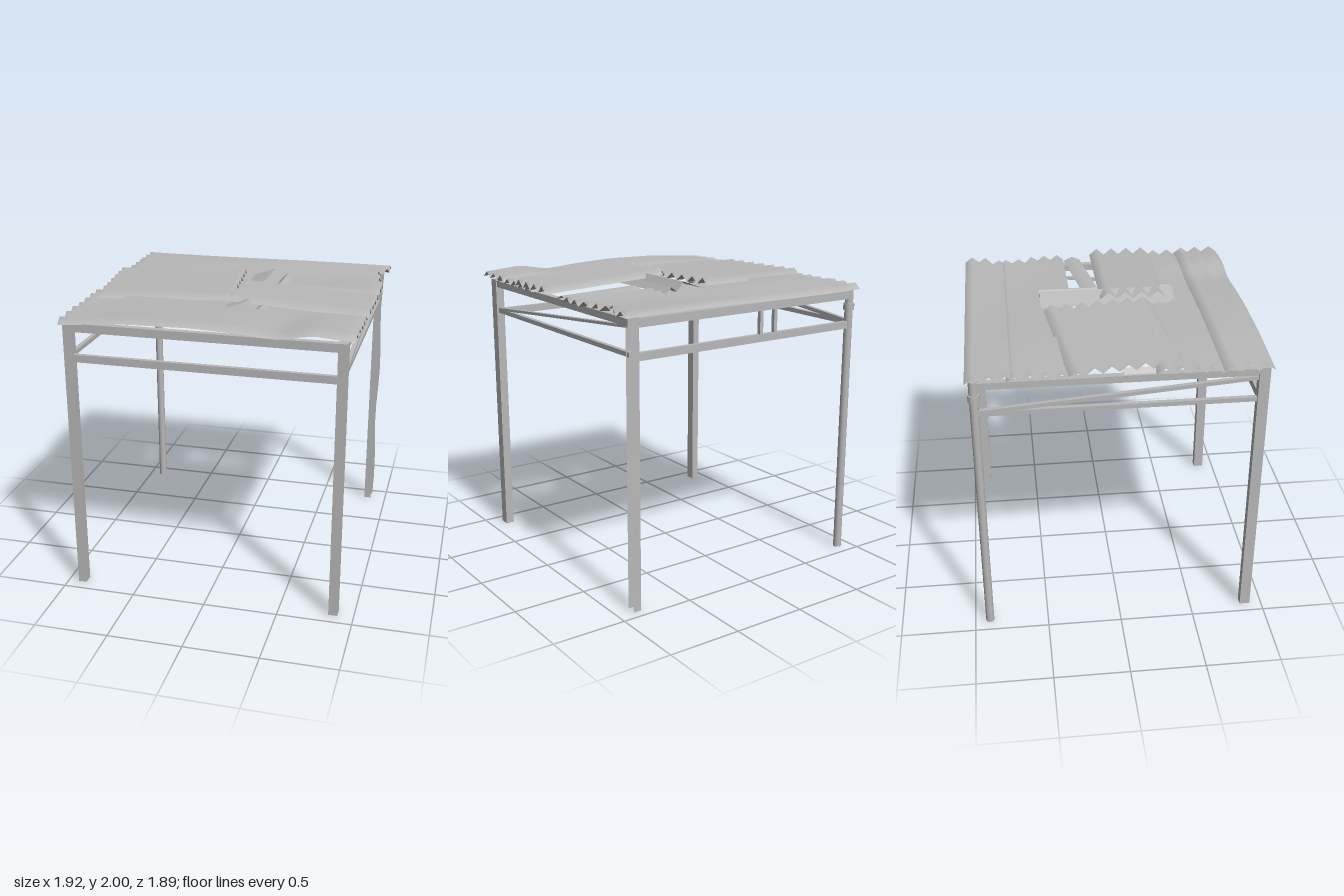
import * as THREE from 'three';

// piecewise-linear lookup through [position, value] pairs
function lerpTable(table, t) {
  if (t <= table[0][0]) return table[0][1];
  for (let i = 1; i < table.length; i++) {
    const [a, va] = table[i - 1], [b, vb] = table[i];
    if (t <= b) return va + (vb - va) * (t - a) / (b - a);
  }
  return table[table.length - 1][1];
}

export function createModel() {
  const group = new THREE.Group();
  const steel = new THREE.MeshStandardMaterial({ color: 0xb8b8b8, side: THREE.DoubleSide });
  steel.name = 'grey galvanised steel';

  function add(name, geometry, x = 0, y = 0, z = 0) {
    const mesh = new THREE.Mesh(geometry, steel);
    mesh.name = name;
    mesh.position.set(x, y, z);
    group.add(mesh);
    return mesh;
  }

  // straight bar from a to b, w wide and h tall
  function bar(name, a, b, w, h) {
    const p = new THREE.Vector3(...a), q = new THREE.Vector3(...b);
    const mesh = add(name, new THREE.BoxGeometry(w, h, p.distanceTo(q)));
    mesh.position.copy(p).add(q).multiplyScalar(0.5);
    mesh.lookAt(q);
    return mesh;
  }

  // corrugated sheet: zigzag along z, ridges along x, shaped by bend(x, z) and edge(z)
  function sheet(name, { w, d, teeth, amp, x, y, z, turn = 0, tilt = 0, bend, edge }) {
    const nx = 24;
    const geo = new THREE.PlaneGeometry(w, d, nx, teeth * 2).rotateX(-Math.PI / 2);
    const pos = geo.attributes.position;
    for (let i = 0; i < pos.count; i++) {
      const row = Math.floor(i / (nx + 1));
      const px = pos.getX(i), pz = pos.getZ(i);
      pos.setY(i, (row % 2 ? amp : -amp) + (bend ? bend(px + x, pz + z) : 0));
      if (edge && i % (nx + 1) === nx) pos.setX(i, edge(pz + z) - x);
    }
    geo.computeVertexNormals();
    const mesh = add(name, geo, x, y, z);
    mesh.rotation.set(0, turn, tilt);
    return mesh;
  }

  // posts: two square tubes, one round pipe with a collar
  add('frontRightPost', new THREE.BoxGeometry(0.055, 1.88, 0.07), -0.9, 0.94, 0.885);
  add('frontLeftPost', new THREE.BoxGeometry(0.06, 1.88, 0.07), 0.863, 0.94, 0.885);
  add('backRightPost', new THREE.CylinderGeometry(0.028, 0.028, 1.88, 16), -0.9, 0.94, -0.9);
  add('postCollar', new THREE.CylinderGeometry(0.037, 0.037, 0.045, 16), -0.9, 1.765, -0.9);

  // dented open channel post
  const section = [[0.885, -0.868], [0.835, -0.868], [0.835, -0.938], [0.89, -0.938]];
  const channel = new THREE.PlaneGeometry(1, 1.9, 3, 12);
  const cp = channel.attributes.position;
  for (let i = 0; i < cp.count; i++) {
    const [sx, sz] = section[i % 4];
    const y = cp.getY(i) + 0.95;
    const dent = i % 4 === 3 ? 0.008 * Math.sin(y * 7) : 0;
    cp.setXYZ(i, sx + dent, y, sz + dent * 0.4);
  }
  const flatChannel = channel.toNonIndexed();
  flatChannel.computeVertexNormals();
  add('backLeftPost', flatChannel);

  // top beams and lower rails on all four sides
  for (const [side, z] of [['front', 0.885], ['back', -0.9]]) {
    bar(side + 'TopBeam', [-0.88, 1.847, z], [0.84, 1.847, z], 0.045, 0.055);
    bar(side + 'LowerRail', [-0.88, 1.64, z], [0.84, 1.64, z], 0.03, 0.05);
  }
  for (const [side, x] of [['right', -0.9], ['left', 0.863]]) {
    bar(side + 'TopBeam', [x, 1.85, 0.86], [x, 1.85, -0.89], 0.045, 0.045);
    bar(side + 'LowerRail', [x, 1.655, 0.86], [x, 1.655, -0.89], 0.03, 0.03);
  }

  // diagonal braces, rising in opposite directions
  bar('leftBrace', [0.863, 1.665, 0.86], [0.863, 1.825, -0.88], 0.03, 0.018);
  bar('rightBrace', [-0.9, 1.805, 0.86], [-0.9, 1.665, -0.88], 0.03, 0.025);

  // short uprights in the back frame
  for (const x of [-0.237, -0.12]) {
    add('backUpright', new THREE.BoxGeometry(0.026, 0.16, 0.026), x, 1.745, -0.9);
  }

  // front roof sheets, warped along the front edge
  const wave = [[-0.95, -0.02], [-0.5, 0.015], [-0.1, 0.022], [0.2, 0.01],
    [0.45, -0.012], [0.68, 0.03], [0.94, 0.008]];
  const frontBend = (x, z) => lerpTable(wave, x) * THREE.MathUtils.clamp((z - 0.35) / 0.55, 0, 1);
  sheet('frontRoofSheet', { w: 1.89, d: 0.32, teeth: 3, amp: 0.02, x: -0.005, y: 1.912, z: 0.785, bend: frontBend });
  sheet('frontInnerRoofSheet', { w: 1.89, d: 0.51, teeth: 5, amp: 0.02, x: -0.005, y: 1.904, z: 0.465, bend: frontBend });

  // back roof sheets, with a torn edge
  const torn = [[-0.95, 0.94], [-0.82, 0.94], [-0.78, 0.91], [-0.7, 0.87], [-0.6, 0.91],
    [-0.54, 0.89], [-0.44, 0.94], [-0.22, 0.94]];
  const backBend = (x, z) => 0.012 * Math.sin(x * 3) * Math.sin((z + 0.22) * 5);
  const tornEdge = (z) => lerpTable(torn, z);
  sheet('backRoofSheet', { w: 1.89, d: 0.3, teeth: 3, amp: 0.019, x: -0.005, y: 1.905, z: -0.8, bend: backBend, edge: tornEdge });
  sheet('backInnerRoofSheet', { w: 1.89, d: 0.48, teeth: 5, amp: 0.019, x: -0.005, y: 1.9, z: -0.46, bend: backBend, edge: tornEdge });

  // loose sheets lying across the middle
  sheet('looseRightSheet', { w: 0.915, d: 0.73, teeth: 7, amp: 0.022, x: -0.468, y: 1.935, z: -0.01, turn: 0.108, tilt: 0.018 });
  sheet('looseLeftSheet', { w: 0.92, d: 0.445, teeth: 4, amp: 0.024, x: 0.493, y: 1.948, z: 0.197, turn: -0.012, tilt: -0.052 });
  sheet('looseStrip', { w: 0.64, d: 0.12, teeth: 1, amp: 0.014, x: 0.6, y: 1.895, z: -0.11, turn: 0.15 });

  // narrow sheet running front to back, with one sharp ridge
  const ridge = [[0.01, 1.915], [0.16, 1.97], [0.21, 1.905], [0.255, 1.94], [0.295, 1.9]];
  const ridgeGeo = new THREE.PlaneGeometry(1, 0.92, ridge.length - 1, 1).rotateX(-Math.PI / 2);
  const rp = ridgeGeo.attributes.position;
  for (let i = 0; i < rp.count; i++) {
    const [x, y] = ridge[i % ridge.length];
    rp.setXYZ(i, x, y, rp.getZ(i) + 0.02);
  }
  const flatRidge = ridgeGeo.toNonIndexed();
  flatRidge.computeVertexNormals();
  add('ridgeSheet', flatRidge);

  // bent scrap hanging at the right side of the roof
  const scrap = add('bentScrap', new THREE.BoxGeometry(0.06, 0.006, 0.2), -0.895, 1.88, 0.11);
  scrap.rotation.z = 0.8;

  return group;
}
